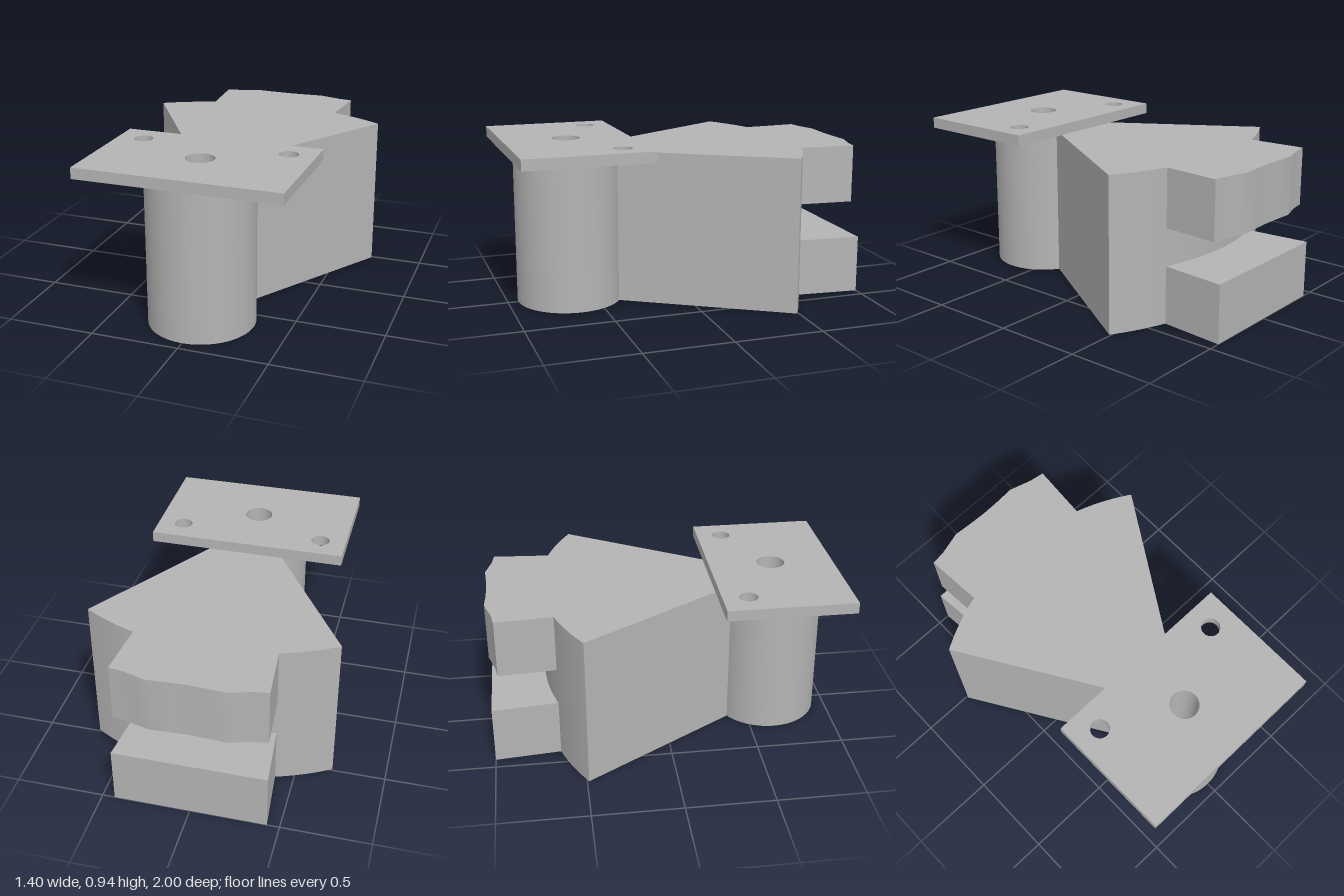
import * as THREE from 'three';
import { toCreasedNormals } from 'three/addons/utils/BufferGeometryUtils.js';

const PIVOT_Z = 0.64;     // centre of the hub and of the sector arc
const HEIGHT = 0.875;
const HUB_R = 0.3, BORE_R = 0.08, ARC_R = 1.329;

export function createModel() {
  const group = new THREE.Group();
  const metal = new THREE.MeshStandardMaterial({ color: 0xb4b4b4 });
  metal.name = 'grey metal';

  // Extrudes a plan outline (x, z) between two heights
  function addSlab(name, shape, bottom, top) {
    const geo = new THREE.ExtrudeGeometry(shape, {
      depth: top - bottom, bevelEnabled: false, curveSegments: 48,
    });
    geo.rotateX(Math.PI / 2);
    geo.translate(0, top, 0);
    const mesh = new THREE.Mesh(toCreasedNormals(geo, 0.4), metal);
    mesh.name = name;
    group.add(mesh);
  }

  function addHole(shape, x, z, r) {
    shape.holes.push(new THREE.Path().absarc(x, z, r, 0, Math.PI * 2, true));
  }

  // Arc about the pivot across the rear, from -x to +x or back
  function rearArc(shape, r, angle, reverse) {
    const a = -Math.PI - angle;
    if (reverse) shape.absarc(0, PIVOT_Z, r, angle, a, true);
    else shape.absarc(0, PIVOT_Z, r, a, angle, false);
  }

  // Hollow pivot hub
  const hub = new THREE.Shape().absarc(0, PIVOT_Z, HUB_R, 0, Math.PI * 2, false);
  addHole(hub, 0, PIVOT_Z, BORE_R);
  addSlab('pivotHub', hub, 0, HEIGHT);

  // Mounting plate with three holes
  const plate = new THREE.Shape([
    [-0.57, 0.28], [0.57, 0.28], [0.57, 1], [-0.57, 1],
  ].map(([x, z]) => new THREE.Vector2(x, z)));
  addHole(plate, 0, PIVOT_Z, BORE_R);
  for (const side of [-1, 1]) addHole(plate, side * 0.42, 0.425, 0.053);
  addSlab('mountingPlate', plate, HEIGHT, 0.937);

  // Sector body widening to the rear arc
  const sector = new THREE.Shape();
  rearArc(sector, HUB_R, Math.atan2(-0.257, 0.155), false);
  rearArc(sector, ARC_R, Math.atan2(-1.13, 0.7), true);
  sector.closePath();
  addSlab('sectorBody', sector, 0, HEIGHT);

  // Rear jaws: half the back outline, from outer corner to centre, mirrored
  function addJaw(name, half, bottom, top) {
    const shape = new THREE.Shape();
    rearArc(shape, ARC_R, Math.atan2(-1.267, 0.395), false);
    for (const [x, z] of half) shape.lineTo(x, z);
    for (const [x, z] of [...half].reverse()) if (x > 0) shape.lineTo(-x, z);
    shape.closePath();
    addSlab(name, shape, bottom, top);
  }
  addJaw('lowerJaw', [[0.43, -1]], 0, 0.33);
  addJaw('upperJaw',
    [[0.42, -0.95], [0.34, -0.962], [0.27, -0.982], [0.21, -1], [0.1, -0.993], [0, -0.99]],
    0.545, HEIGHT);

  return group;
}
